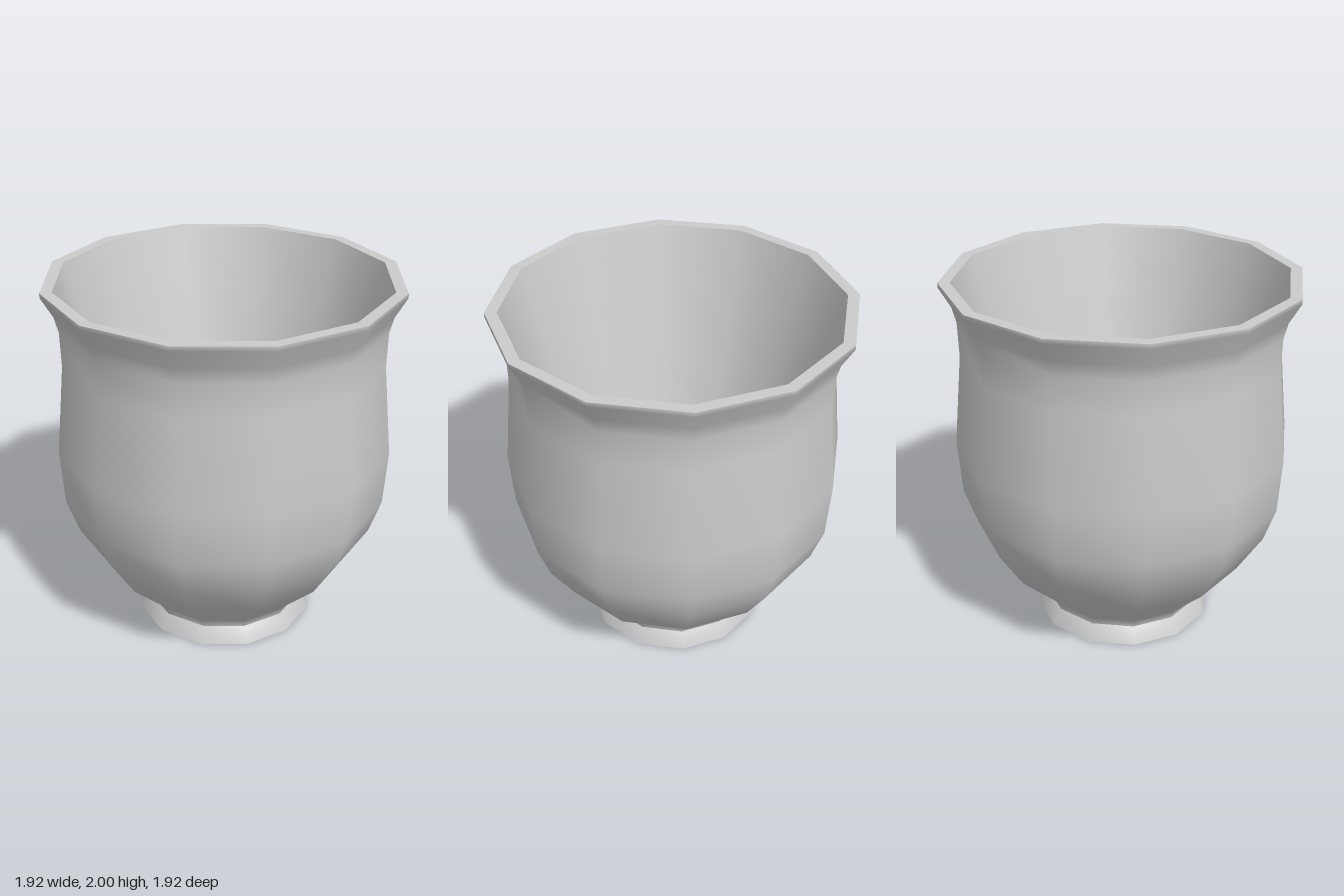
import * as THREE from 'three';

const SIDES = 12;

export function createModel() {
  const group = new THREE.Group();
  group.name = 'pot';
  const material = new THREE.MeshStandardMaterial({ color: 0xcccccc });

  // Each section is its own lathe, so edges between sections stay sharp
  const addSection = (name, profile) => {
    const points = profile.map(([r, y]) => new THREE.Vector2(r, y));
    const mesh = new THREE.Mesh(new THREE.LatheGeometry(points, SIDES), material);
    mesh.name = name;
    group.add(mesh);
  };

  // Flared foot
  addSection('footBottom', [[0, 0], [0.5, 0]]);
  addSection('foot', [[0.5, 0], [0.478, 0.05], [0.45, 0.09]]);

  // Rounded belly, narrow neck and flared lip
  addSection('outerWall', [
    [0.45, 0.09], [0.462, 0.135], [0.692, 0.36], [0.833, 0.585],
    [0.9, 0.78], [0.92, 1.09], [0.87, 1.59], [0.874, 1.78],
    [0.896, 1.865], [0.958, 1.975], [0.958, 2],
  ]);

  // Flat rim, then the tapered inside down to a flat floor
  addSection('rim', [[0.958, 2], [0.895, 2]]);
  const taper = [0, 0.25, 0.5, 0.75, 1].map((t) => [0.895 - 0.385 * t, 2 - 1.45 * t]);
  addSection('innerWall', taper);
  addSection('innerFloor', [[0.51, 0.55], [0, 0.55]]);

  return group;
}
